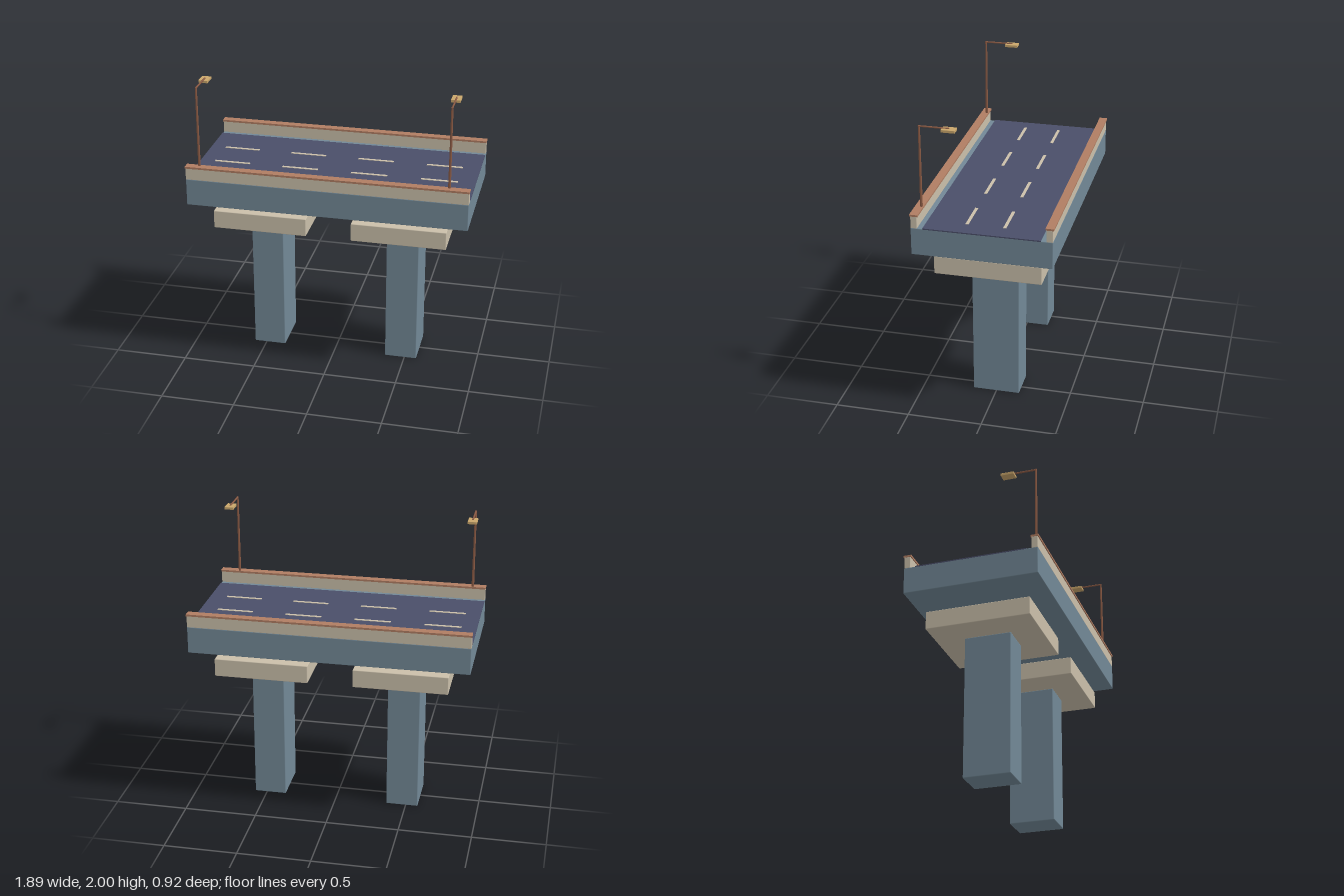
import * as THREE from 'three';
import { RoundedBoxGeometry } from 'three/addons/geometries/RoundedBoxGeometry.js';

function material(name, color) {
  const m = new THREE.MeshStandardMaterial({ color });
  m.name = name;
  return m;
}

export function createModel() {
  const concrete = material('blue grey concrete', 0x728896);
  const stone = material('pale stone', 0xcabfaa);
  const asphalt = material('dark asphalt', 0x4a4e69);
  const railPaint = material('terracotta rail', 0xb07d62);
  const poleMetal = material('brown metal', 0x8a5a44);
  const lampMetal = material('ochre lamp', 0xc9a66b);

  const model = new THREE.Group();
  model.name = 'bridgeSection';

  // Box given by its centre in x and z and its bottom and top in y; optional small bevel
  function box(parent, name, mat, x, z, w, d, y0, y1, bevel = 0) {
    const h = y1 - y0;
    const geo = bevel ? new RoundedBoxGeometry(w, h, d, 1, bevel) : new THREE.BoxGeometry(w, h, d);
    const mesh = new THREE.Mesh(geo, mat);
    mesh.name = name;
    mesh.position.set(x, (y0 + y1) / 2, z);
    parent.add(mesh);
    return mesh;
  }

  // Piers with wide caps
  for (const x of [-0.473, 0.473]) {
    const pier = new THREE.Group();
    pier.name = x > 0 ? 'leftPier' : 'rightPier';
    box(pier, 'column', concrete, x, 0, 0.222, 0.318, 0, 0.974, 0.006);
    box(pier, 'cap', stone, x, 0, 0.64, 0.71, 0.972, 1.097, 0.005);
    model.add(pier);
  }

  // Deck and road surface
  box(model, 'deck', concrete, 0, 0, 1.886, 0.912, 1.174, 1.359, 0.005);
  box(model, 'roadSurface', asphalt, 0, 0, 1.886, 0.757, 1.355, 1.363);

  // Dashed lane lines
  const lanes = new THREE.Group();
  lanes.name = 'laneMarkings';
  for (const z of [-0.122, 0.122])
    for (let i = 0; i < 4; i++)
      box(lanes, 'laneDash', stone, -0.719 + i * 0.4737, z, 0.246, 0.02, 1.362, 1.366);
  model.add(lanes);

  // Parapets with top rails
  for (const s of [-1, 1]) {
    const parapet = new THREE.Group();
    parapet.name = s > 0 ? 'frontParapet' : 'backParapet';
    box(parapet, 'barrier', stone, 0, s * 0.434, 1.886, 0.042, 1.357, 1.439, 0.003);
    box(parapet, 'topRail', railPaint, 0, s * 0.434, 1.89, 0.054, 1.438, 1.451);
    model.add(parapet);
  }

  // Street lamps reaching over the road
  for (const x of [-0.855, 0.81]) {
    const lamp = new THREE.Group();
    lamp.name = x > 0 ? 'leftStreetLamp' : 'rightStreetLamp';
    const pole = new THREE.Mesh(new THREE.CylinderGeometry(0.007, 0.009, 0.56, 8), poleMetal);
    pole.name = 'lampPole';
    pole.position.set(x, 1.718, 0.42);
    const arm = new THREE.Mesh(new THREE.CylinderGeometry(0.006, 0.006, 0.197, 8), poleMetal);
    arm.name = 'lampArm';
    arm.rotation.x = Math.PI / 2;
    arm.position.set(x, 1.994, 0.3255);
    lamp.add(pole, arm);
    box(lamp, 'lampHead', lampMetal, x, 0.23, 0.062, 0.09, 1.976, 1.994, 0.002);
    model.add(lamp);
  }

  return model;
}
